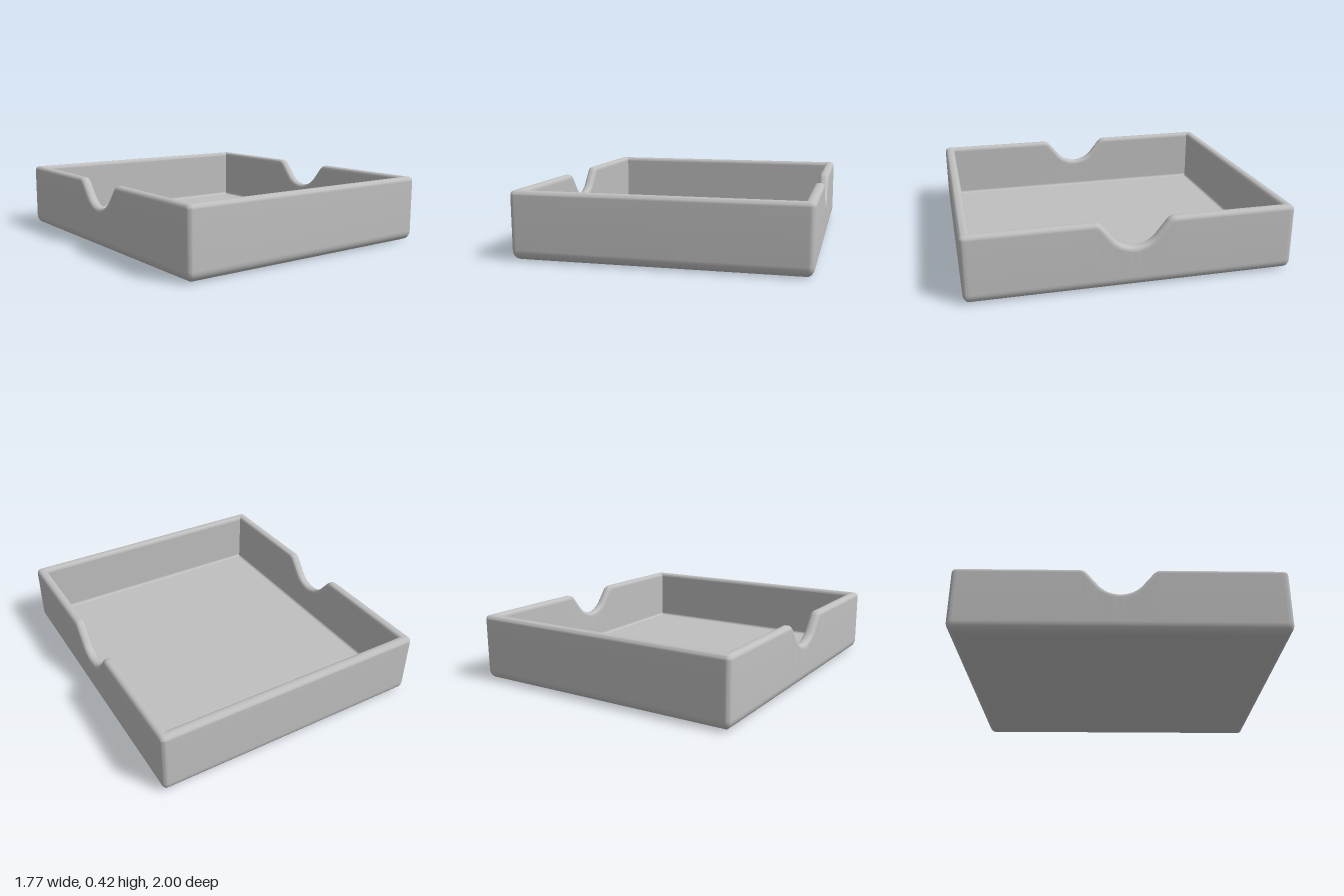
import * as THREE from 'three';
import { toCreasedNormals } from 'three/addons/utils/BufferGeometryUtils.js';

const HX = 0.886, HZ = 1, H = 0.418;          // half width, half depth, height
const WALL = 0.064, FLOOR = 0.06;             // wall and floor thickness
const CORNER = 0.03, BASE = 0.06, COVE = 0.016; // corner, bottom and inner floor radii
const RIM_OUT = 0.028, RIM_IN = 0.024, SUP = 0.005;

// Half of the finger notch: bottom arc, straight flank, rounded lip
function notchHalf() {
  const r = 0.17, lip = 0.06, steep = 0.89, yc = 0.253 + r, pts = [];
  for (let i = 0; i <= 10; i++) {
    const f = steep * i / 10;
    pts.push({ z: r * Math.sin(f), y: yc - r * Math.cos(f), nz: -Math.sin(f), ny: Math.cos(f) });
  }
  const a = pts[10], yLip = H - lip * (1 - Math.cos(steep));
  const end = a.z + (yLip - a.y) / Math.tan(steep) + lip * Math.sin(steep);
  for (let i = 6; i >= 0; i--) {
    const f = steep * i / 6;
    pts.push({ z: end - lip * Math.sin(f), y: H - lip * (1 - Math.cos(f)), nz: -Math.sin(f), ny: Math.cos(f) });
  }
  pts.push({ z: end + 0.02, y: H, nz: 0, ny: 1 });
  return pts;
}

// Stations around the tray: rounded corners, with the notch on both sides
function makeStations() {
  const half = notchHalf();
  const notch = [...half.slice(1).reverse().map(p => ({ ...p, z: -p.z, nz: -p.nz })), ...half];
  const stations = [];
  [[1, 1], [-1, 1], [-1, -1], [1, -1]].forEach(([sx, sz], q) => {
    const add = (t, shift = 0) =>
      stations.push({ corner: true, sx, sz, a: (q + t) * Math.PI / 2, shift, y: H, nz: 0, ny: 1 });
    add(0, -0.008);
    for (let i = 0; i <= 6; i++) add(i / 6);
    add(1, 0.008);
    if (q === 1) [...notch].reverse().forEach(p => stations.push({ ...p, sx: -1 }));
    if (q === 3) notch.forEach(p => stations.push({ ...p, sx: 1 }));
  });
  return stations;
}

// Cross-section rows: d is the inset from outside, y a fixed height, k the depth below the rim
function makeRows() {
  const rows = [{ d: BASE + SUP, y: 0 }];
  const arc = (n, fn) => {
    for (let i = 0; i <= n; i++) {
      const a = i / n * Math.PI / 2;
      rows.push(fn(Math.sin(a), Math.cos(a)));
    }
  };
  arc(7, (s, c) => ({ d: BASE * (1 - s), y: BASE * (1 - c) }));
  rows.push({ d: 0, y: BASE + SUP }, { d: 0, k: RIM_OUT + SUP });
  arc(6, (s, c) => ({ d: RIM_OUT * (1 - c), k: RIM_OUT * (1 - s) }));
  arc(6, (s, c) => ({ d: WALL - RIM_IN * (1 - s), k: RIM_IN * (1 - c) }));
  rows.push({ d: WALL, k: RIM_IN + SUP }, { d: WALL, y: FLOOR + COVE + SUP });
  arc(4, (s, c) => ({ d: WALL + COVE * (1 - c), y: FLOOR + COVE * (1 - s) }));
  return rows;
}

function place(row, st) {
  const y = row.k === undefined ? row.y : st.y - row.k * st.ny;
  if (!st.corner) {
    const z = row.k === undefined ? st.z : st.z - row.k * st.nz;
    return [st.sx * (HX - row.d), y, z];
  }
  const r = Math.max(CORNER - row.d, 0), c = Math.cos(st.a), s = Math.sin(st.a);
  return [
    st.sx * (HX - row.d - r) + r * c - st.shift * s, y,
    st.sz * (HZ - row.d - r) + r * s + st.shift * c,
  ];
}

// Triangles from a position function, leaving out collapsed ones
function surface(build) {
  const pos = [], A = new THREE.Vector3(), B = new THREE.Vector3(), C = new THREE.Vector3();
  build((a, b, c) => {
    A.fromArray(a); B.fromArray(b).sub(A); C.fromArray(c).sub(A);
    if (B.cross(C).length() > 1e-9) pos.push(...a, ...b, ...c);
  });
  const g = new THREE.BufferGeometry();
  g.setAttribute('position', new THREE.Float32BufferAttribute(pos, 3));
  return toCreasedNormals(g, 0.6);
}

export function createModel() {
  const grey = new THREE.MeshStandardMaterial({ color: 0xbfbfbf });
  grey.name = 'grey';
  const stations = makeStations(), rows = makeRows(), n = stations.length;
  const grid = rows.map(row => stations.map(st => place(row, st)));

  const group = new THREE.Group();
  group.name = 'tray';
  const addMesh = (name, geometry) => {
    const mesh = new THREE.Mesh(geometry, grey);
    mesh.name = name;
    group.add(mesh);
  };

  // Walls with bottom fillet, rounded rim, notches and inner cove
  addMesh('walls', surface(tri => {
    for (let i = 0; i < grid.length - 1; i++) {
      for (let j = 0; j < n; j++) {
        const k = (j + 1) % n, lo = grid[i], hi = grid[i + 1];
        tri(lo[j], hi[j], lo[k]);
        tri(hi[j], hi[k], lo[k]);
      }
    }
  }));

  // Flat inner floor and underside
  const addPlate = (name, halfX, halfZ, y, turn) => {
    const g = new THREE.PlaneGeometry(halfX * 2, halfZ * 2);
    g.rotateX(turn).translate(0, y, 0);
    addMesh(name, g);
  };
  const inF = WALL + COVE, inB = BASE + SUP;
  addPlate('floor', HX - inF, HZ - inF, FLOOR, -Math.PI / 2);
  addPlate('underside', HX - inB, HZ - inB, 0, Math.PI / 2);
  return group;
}
